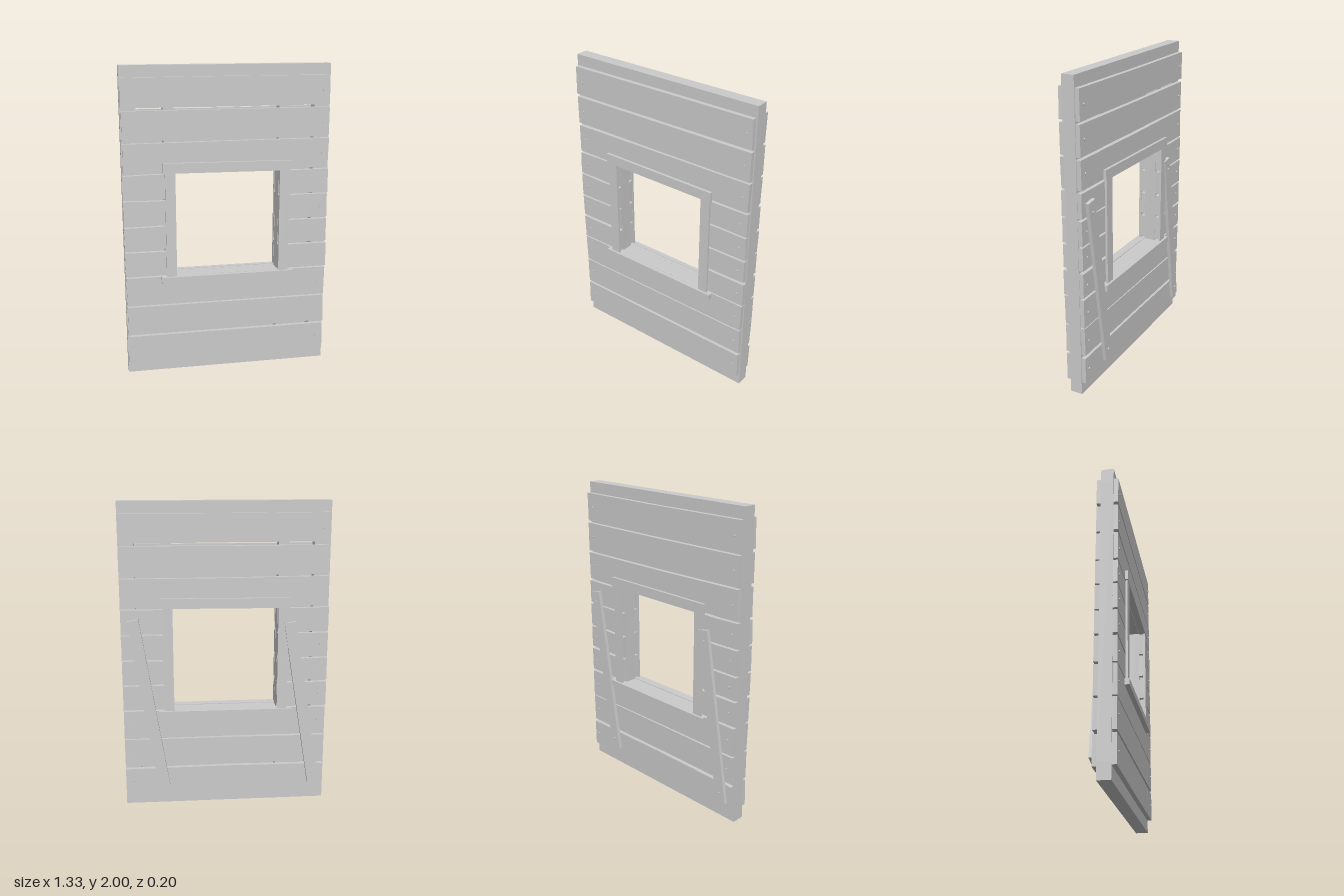
import * as THREE from 'three';

const timber = new THREE.MeshStandardMaterial({ color: 0xcccccc });
timber.name = 'plain grey timber';

// small seeded generator for the rough-sawn edges
let seed = 7;
const rough = (amount) => {
  seed = (seed * 16807) % 2147483647;
  return (seed / 2147483647 - 0.5) * 2 * amount;
};

function add(parent, name, geometry) {
  const mesh = new THREE.Mesh(geometry, timber);
  mesh.name = name;
  parent.add(mesh);
  return mesh;
}

// squared timber given by its limits
function beam(parent, name, x0, x1, y0, y1, z0, z1) {
  const mesh = add(parent, name, new THREE.BoxGeometry(x1 - x0, y1 - y0, z1 - z0));
  mesh.position.set((x0 + x1) / 2, (y0 + y1) / 2, (z0 + z1) / 2);
  return mesh;
}

// board with slightly uneven outline, lying from z to z + depth
function board(parent, name, x0, x1, y0, y1, z, depth, wobble = 0.003) {
  const xm = (x0 + x1) / 2;
  const outline = [[x0, y0], [xm, y0], [x1, y0], [x1, y1], [xm, y1], [x0, y1]]
    .map(([x, y]) => new THREE.Vector2(x + rough(wobble), y + rough(wobble)));
  const geometry = new THREE.ExtrudeGeometry(new THREE.Shape(outline), { depth, bevelEnabled: false });
  const mesh = add(parent, name, geometry);
  mesh.position.z = z;
  return mesh;
}

function nail(parent, x, y, z) {
  const geometry = new THREE.CylinderGeometry(0.007, 0.008, 0.014, 8).rotateX(Math.PI / 2);
  add(parent, 'nail', geometry).position.set(x, y, z);
}

// bottom and top of each row; rows 3 to 6 are interrupted by the window
const rows = [
  [0.08, 0.26], [0.28, 0.464], [0.475, 0.664],
  [0.675, 0.833], [0.851, 0.998], [1.011, 1.166], [1.178, 1.332],
  [1.346, 1.53], [1.546, 1.73], [1.747, 1.928],
];

// planks, nails and window trim of one face, built towards +z
function cladding(name) {
  const side = new THREE.Group();
  side.name = name;
  rows.forEach(([y0, y1], i) => {
    const y = (y0 + y1) / 2;
    if (i >= 3 && i <= 6) {
      board(side, 'shortPlank', -0.662, -0.336, y0, y1, 0.04, 0.028);
      board(side, 'shortPlank', 0.336, 0.66, y0, y1, 0.04, 0.028);
    } else {
      board(side, 'plank', -0.658, 0.656, y0, y1, 0.04, 0.028);
    }
    for (const s of [-1, 1]) nail(side, s * 0.615 + rough(0.004), y + rough(0.006), 0.067);
  });
  for (const s of [-1, 1]) {
    const inner = s * 0.335, outer = s * 0.4;
    beam(side, 'windowSideTrim', Math.min(inner, outer), Math.max(inner, outer), 0.66, 1.345, 0.068, 0.083);
  }
  const top = beam(side, 'windowTopTrim', -0.412, 0.408, 1.338, 1.402, 0.068, 0.086);
  top.rotation.z = -0.008;
  beam(side, 'windowSill', -0.434, 0.431, 0.625, 0.665, 0.066, 0.098);
  return side;
}

// diagonal batten nailed to the back
function brace(parent, bottom, top) {
  const a = new THREE.Vector2(...bottom), b = new THREE.Vector2(...top);
  const group = new THREE.Group();
  group.name = 'backBrace';
  const length = a.distanceTo(b);
  beam(group, 'brace', -0.037, 0.037, -length / 2, length / 2, -0.091, -0.068);
  for (const s of [-1, 1]) nail(group, 0, s * (length / 2 - 0.07), -0.092);
  group.position.set((a.x + b.x) / 2, (a.y + b.y) / 2, 0);
  group.rotation.z = -Math.atan2(b.x - a.x, b.y - a.y);
  parent.add(group);
}

export function createModel() {
  seed = 7;
  const model = new THREE.Group();
  model.name = 'plankWallWithWindow';

  // stud frame
  const frame = new THREE.Group();
  frame.name = 'frame';
  model.add(frame);
  beam(frame, 'topRail', -0.664, 0.664, 1.9, 2, -0.04, 0.04);
  beam(frame, 'bottomRail', -0.664, 0.664, 0, 0.1, -0.04, 0.04);
  for (const s of [-1, 1]) {
    const post = beam(frame, 'outerPost', -0.05, 0.05, 0.1, 1.9, -0.04, 0.04);
    post.position.x = s * 0.614;
    const stud = beam(frame, 'windowStud', -0.0325, 0.0325, 0.1, 1.9, -0.04, 0.04);
    stud.position.x = s * 0.3685;
  }
  beam(frame, 'windowHeader', -0.336, 0.336, 1.338, 1.4, -0.04, 0.04);
  beam(frame, 'windowBottomRail', -0.336, 0.336, 0.6, 0.662, -0.04, 0.04);

  // planked faces
  model.add(cladding('frontCladding'));
  const back = cladding('backCladding');
  back.rotation.y = Math.PI;
  model.add(back);

  // braces, both leaning the same way
  brace(model, [-0.59, 0.13], [-0.412, 1.24]);
  brace(model, [0.408, 0.14], [0.586, 1.27]);
  return model;
}
